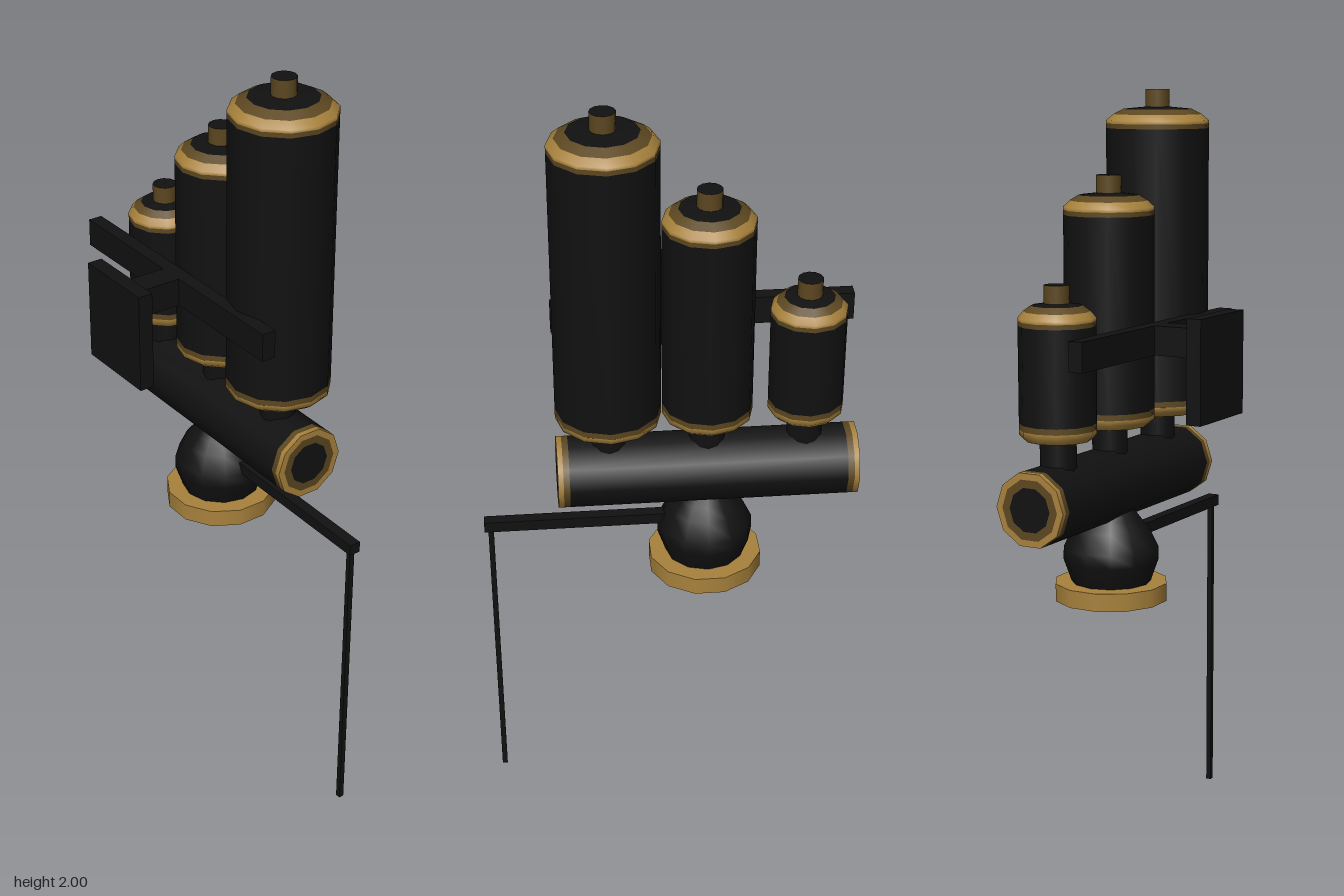
import * as THREE from 'three';

const mat = (color) => new THREE.MeshStandardMaterial({ color });
const BLACK = mat(0x111111), BRONZE = mat(0x5c4720), GOLD = mat(0xa8823c);
const CX = 0.09; // whistle centre line

function add(parent, name, geometry, material, x = 0, y = 0, z = 0) {
  const mesh = new THREE.Mesh(geometry, material);
  mesh.name = name;
  mesh.position.set(x, y, z);
  parent.add(mesh);
  return mesh;
}

const box = (p, name, w, h, d, x, y, z) => add(p, name, new THREE.BoxGeometry(w, h, d), BLACK, x, y, z);

// Turned part made of bands: each is [name, material, [r, y], [r, y], ...] running upwards outside
function turned(name, sides, bands) {
  const group = new THREE.Group();
  group.name = name;
  for (const [part, material, ...pts] of bands) {
    const profile = pts.map(([r, y]) => new THREE.Vector2(r, y));
    add(group, part, new THREE.LatheGeometry(profile, sides), material);
  }
  return group;
}

// One chime: neck, bell with gilded rims, stepped crown and finial
function whistle(name, z, r, shoulder, top) {
  const base = 1.15, crown = top - 0.045, k = 0.032;
  const g = turned(name, 12, [
    ['underside', BLACK, [0, base], [r * 0.72, base]],
    ['undersideRim', BRONZE, [r * 0.72, base], [r * 0.86, base]],
    ['lowerRim', GOLD, [r * 0.86, base], [r, base + 0.014], [r, base + 0.027]],
    ['lowerFade', BRONZE, [r, base + 0.027], [r, base + 0.042]],
    ['barrel', BLACK, [r, base + 0.042], [r, shoulder - 0.02]],
    ['upperFade', BRONZE, [r, shoulder - 0.02], [r, shoulder - 0.008]],
    ['upperRim', GOLD, [r, shoulder - 0.008], [r, shoulder], [r * 0.86, shoulder + (crown - shoulder) * 0.45]],
    ['crownFade', BRONZE, [r * 0.86, shoulder + (crown - shoulder) * 0.45], [r * 0.66, shoulder + (crown - shoulder) * 0.85]],
    ['crown', BLACK, [r * 0.66, shoulder + (crown - shoulder) * 0.85], [k, crown]],
    ['finial', BRONZE, [k, crown - 0.005], [k, top]],
    ['finialTop', BLACK, [k, top], [0, top]],
  ]);
  add(g, 'neck', new THREE.CylinderGeometry(0.046, 0.046, 0.12, 12), BLACK, 0, 1.1, 0);
  g.position.set(CX, 0, z);
  return g;
}

export function createModel() {
  const model = new THREE.Group();
  model.name = 'tripleWhistle';

  // Three chimes, tallest at the front
  model.add(whistle('largeWhistle', 0.155, 0.135, 1.92, 2.0));
  model.add(whistle('middleWhistle', -0.098, 0.116, 1.71, 1.79));
  model.add(whistle('smallWhistle', -0.35, 0.097, 1.455, 1.535));

  // Horizontal manifold with gilded ends
  const R = 0.0965, H = 0.3875;
  const manifold = turned('manifold', 10, [
    ['backCap', BLACK, [0, -H], [R * 0.6, -H]],
    ['backCapFade', BRONZE, [R * 0.6, -H], [R * 0.82, -H]],
    ['backCapRim', GOLD, [R * 0.82, -H], [R, -H]],
    ['backBand', GOLD, [R, -H], [R, -H + 0.014]],
    ['backFade', BRONZE, [R, -H + 0.014], [R, -H + 0.03]],
    ['pipe', BLACK, [R, -H + 0.03], [R, H - 0.03]],
    ['frontFade', BRONZE, [R, H - 0.03], [R, H - 0.014]],
    ['frontBand', GOLD, [R, H - 0.014], [R, H]],
    ['frontCapRim', GOLD, [R, H], [R * 0.82, H]],
    ['frontCapFade', BRONZE, [R * 0.82, H], [R * 0.6, H]],
    ['frontCap', BLACK, [R * 0.6, H], [0, H]],
  ]);
  manifold.rotation.set(Math.PI / 2, Math.PI / 2, 0);
  // Put polygon corners on the left and right of the pipe
  manifold.rotation.order = 'XYZ';
  manifold.position.set(CX, 0.995, -0.0975);
  model.add(manifold);

  // Valve body and open mounting flange
  const valve = turned('valve', 12, [
    ['valveBody', BLACK, [0.102, 0.725], [0.125, 0.79], [0.124, 0.825], [0.1, 0.875], [0.075, 0.905], [0.05, 0.94]],
    ['boreCeiling', BRONZE, [0, 0.722], [0.108, 0.722]],
  ]);
  valve.position.set(CX, 0, -0.095);
  model.add(valve);
  const flange = turned('flange', 12, [
    ['flangeBore', GOLD, [0.106, 0.73], [0.106, 0.685]],
    ['flangeUnderside', GOLD, [0.106, 0.685], [0.15, 0.685]],
    ['flangeEdge', GOLD, [0.15, 0.685], [0.15, 0.732]],
    ['flangeTop', GOLD, [0.15, 0.732], [0.09, 0.732]],
  ]);
  flange.position.set(CX, 0, -0.095);
  flange.rotation.y = Math.PI / 12;
  model.add(flange);

  // Lever and pull rod
  box(model, 'lever', 0.031, 0.03, 0.55, CX, 0.84, 0.21);
  box(model, 'pullRod', 0.014, 0.84, 0.014, CX, 0.42, 0.468);

  // Support rail, arm and wall plate
  box(model, 'supportRail', 0.038, 0.075, 0.775, -0.045, 1.382, -0.0975);
  box(model, 'bracketArm', 0.18, 0.075, 0.07, -0.12, 1.382, -0.1);
  box(model, 'wallPlate', 0.04, 0.265, 0.23, -0.218, 1.322, -0.1);
  for (const y of [1.245, 1.4])
    for (const z of [-0.17, -0.03])
      add(model, 'plateBolt', new THREE.OctahedronGeometry(0.022), BLACK, -0.204, y, z);

  return model;
}
